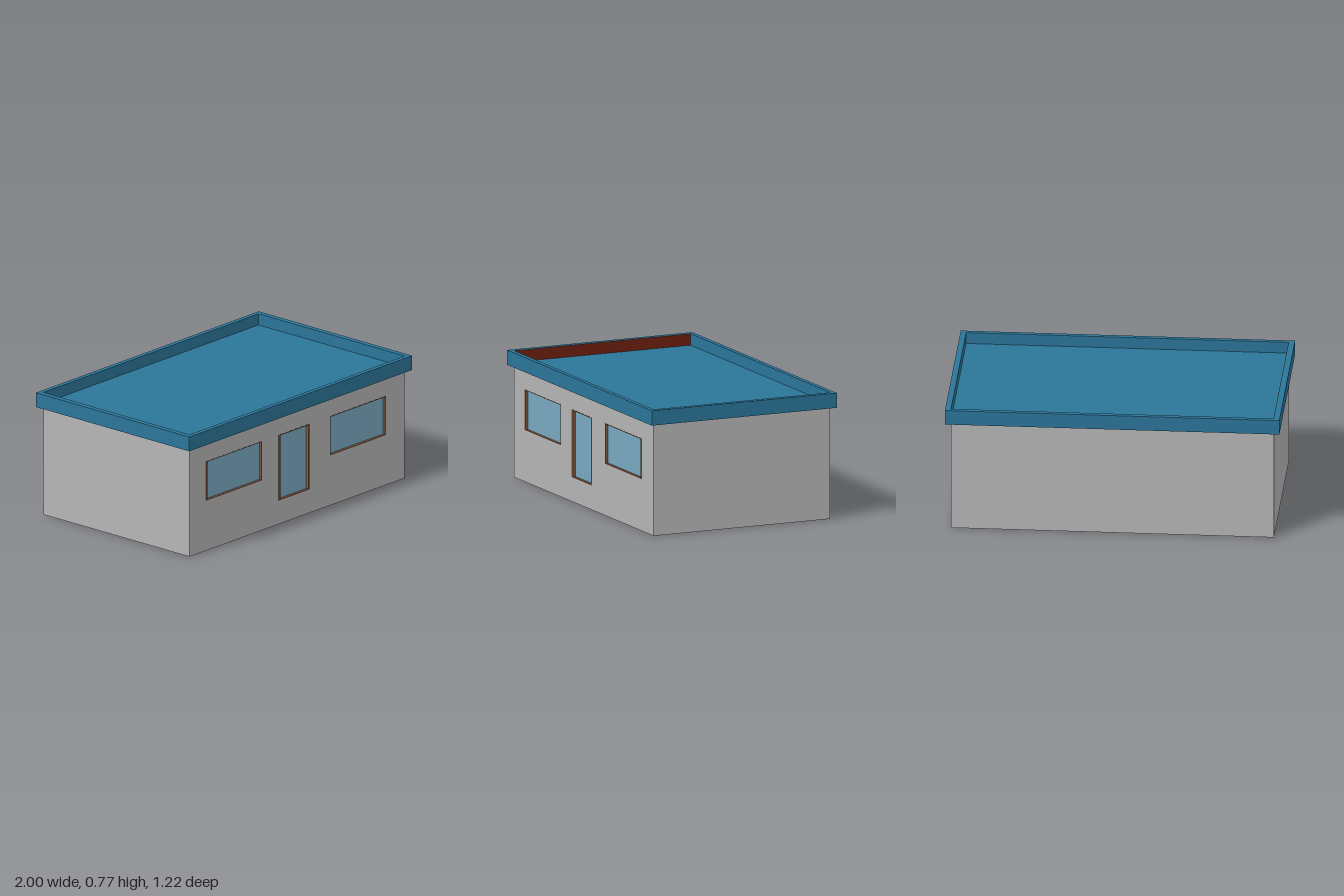
import * as THREE from 'three';

const mat = (name, color) => {
  const m = new THREE.MeshStandardMaterial({ color });
  m.name = name;
  return m;
};

export function createModel() {
  const wall = mat('wall grey', 0xb5b5b5);
  const roofBlue = mat('roof blue', 0x2b7599);
  const glass = mat('glass blue', 0x7aa9c2);
  const brown = mat('frame brown', 0x7d573f);
  const red = mat('dark red', 0x6e2010);

  const W = 0.965, D = 0.583, H = 0.68; // half width, half depth and height of the walls
  const RX = 1, RZ = 0.612, TOP = 0.77, DECK = 0.70;
  const RECESS = 0.02;

  const model = new THREE.Group();
  model.name = 'building';
  const add = (name, geometry, material, x = 0, y = 0, z = 0) => {
    const mesh = new THREE.Mesh(geometry, material);
    mesh.name = name;
    mesh.position.set(x, y, z);
    model.add(mesh);
    return mesh;
  };
  const rect = (Type, x0, y0, x1, y1) => new Type([
    new THREE.Vector2(x0, y0), new THREE.Vector2(x1, y0),
    new THREE.Vector2(x1, y1), new THREE.Vector2(x0, y1),
  ]);
  const extrude = (shape, depth) => new THREE.ExtrudeGeometry(shape, { depth, bevelEnabled: false });

  // Openings: outer rectangle, then the frame widths left, right and top/bottom
  const openings = [
    { name: 'leftPane', o: [-0.815, 0.315, -0.315, 0.562], l: 0.010, r: 0.006, v: 0.004 },
    { name: 'doorPane', o: [-0.165, 0.148, 0.113, 0.562], l: 0.015, r: 0.013, v: 0.006 },
    { name: 'rightPane', o: [0.295, 0.315, 0.795, 0.562], l: 0.006, r: 0.006, v: 0.005 },
  ];

  // Main block and the pierced front wall
  add('body', new THREE.BoxGeometry(2 * W, H, 2 * D - RECESS), wall, 0, H / 2, -RECESS / 2);
  const front = rect(THREE.Shape, -W, 0, W, H);
  openings.forEach(({ o }) => front.holes.push(rect(THREE.Path, ...o)));
  add('frontWall', extrude(front, RECESS), wall, 0, 0, D - RECESS);

  // Brown frames with recessed glass
  for (const { name, o: [x0, y0, x1, y1], l, r, v } of openings) {
    const frame = rect(THREE.Shape, x0, y0, x1, y1);
    frame.holes.push(rect(THREE.Path, x0 + l, y0 + v, x1 - r, y1 - v));
    add(name + 'Frame', extrude(frame, RECESS + 0.001), brown, 0, 0, D - RECESS);
    add(name, new THREE.BoxGeometry(x1 - x0 - l - r, y1 - y0 - 2 * v, 0.004), glass,
      (x0 + l + x1 - r) / 2, (y0 + y1) / 2, D - RECESS + 0.002);
  }

  // Flat roof deck with a raised rim
  add('roofDeck', new THREE.BoxGeometry(2 * RX, DECK - H, 2 * RZ), roofBlue, 0, (H + DECK) / 2, 0);
  const rim = rect(THREE.Shape, -RX, -RZ, RX, RZ);
  rim.holes.push(rect(THREE.Path, -W, -D, W, D));
  add('roofRim', extrude(rim, TOP - DECK), roofBlue, 0, DECK, 0).rotation.x = -Math.PI / 2;

  // Dark red lining on the inner face of one rim side
  add('rimLining', new THREE.BoxGeometry(0.002, TOP - DECK - 0.001, 2 * D), red,
    -W + 0.001, (DECK + TOP) / 2 - 0.0005, 0);

  return model;
}
